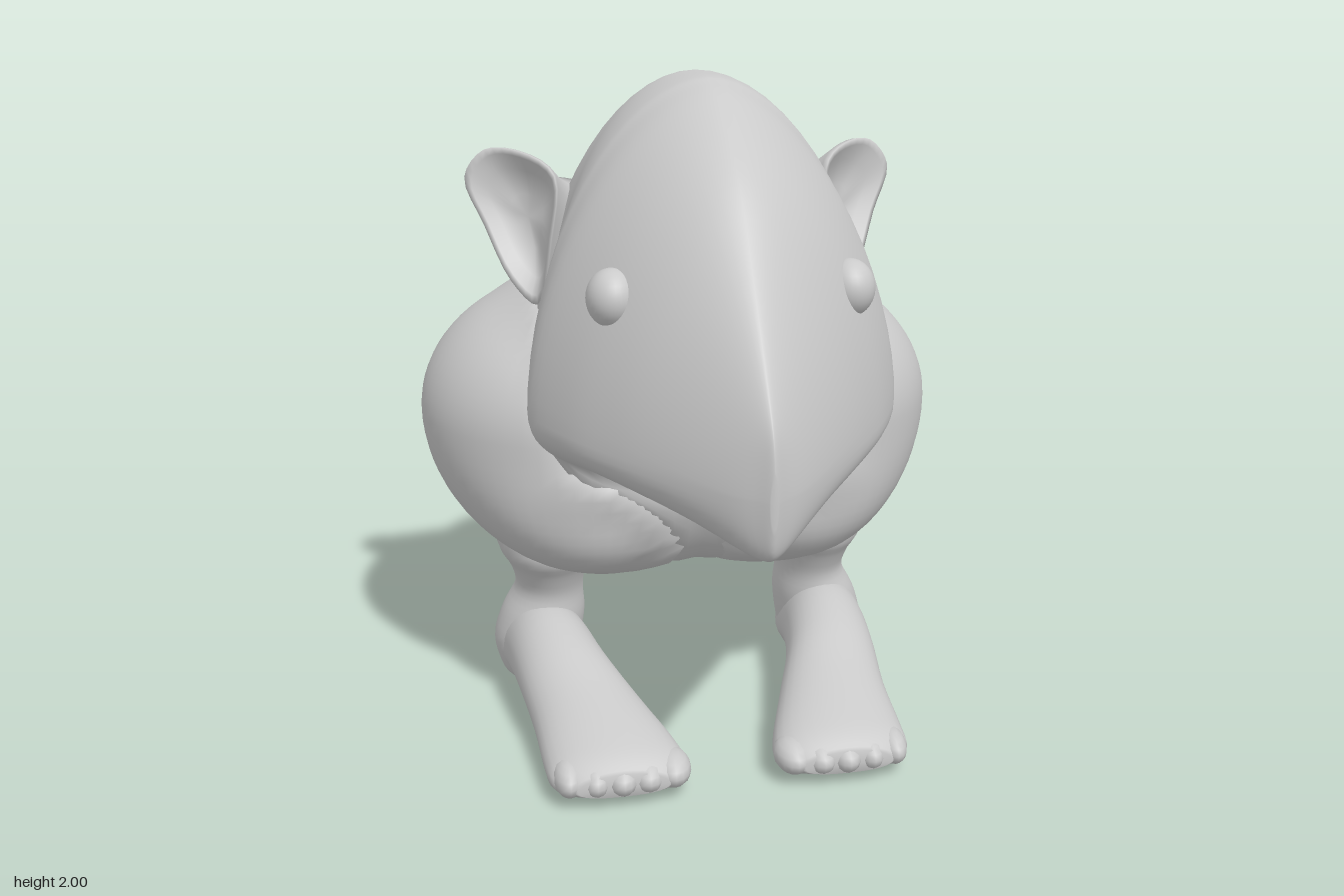
import * as THREE from 'three';

const skin = new THREE.MeshStandardMaterial({ color: 0xcacaca });
skin.name = 'grey skin';

// Catmull-Rom refinement of a short table of section rows
function refine(rows, steps) {
  const out = [];
  const at = (i) => rows[Math.min(Math.max(i, 0), rows.length - 1)];
  for (let i = 0; i < rows.length - 1; i++) {
    for (let s = 0; s < steps; s++) {
      const t = s / steps;
      out.push(rows[i].map((b, k) => {
        const a = at(i - 1)[k], c = at(i + 1)[k], d = at(i + 2)[k];
        return b + 0.5 * t * (c - a + t * (2 * a - 5 * b + 4 * c - d + t * (3 * (b - c) + d - a)));
      }));
    }
  }
  out.push(rows[rows.length - 1]);
  return out;
}

// Skin a list of closed rings, closing both ends
function loft(rings) {
  const n = rings[0].length, pos = [], idx = [];
  rings.forEach((r) => r.forEach((p) => pos.push(p.x, p.y, p.z)));
  for (let i = 0; i < rings.length - 1; i++) {
    for (let j = 0; j < n; j++) {
      const a = i * n + j, b = i * n + (j + 1) % n;
      idx.push(a, b, a + n, b, b + n, a + n);
    }
  }
  const cap = (i, flip) => {
    const c = new THREE.Vector3();
    rings[i].forEach((p) => c.addScaledVector(p, 1 / n));
    const k = pos.length / 3;
    pos.push(c.x, c.y, c.z);
    for (let j = 0; j < n; j++) {
      const a = i * n + j, b = i * n + (j + 1) % n;
      idx.push(k, flip ? b : a, flip ? a : b);
    }
  };
  cap(0, true);
  cap(rings.length - 1, false);
  const g = new THREE.BufferGeometry();
  g.setAttribute('position', new THREE.Float32BufferAttribute(pos, 3));
  g.setIndex(idx);
  g.computeVertexNormals();
  return g;
}

// Upright section at z: rounded above and below its widest height
function sectionRing(z, cx, w, top, bottom, mid, nTop, nBottom, count) {
  return Array.from({ length: count }, (_, j) => {
    const a = (j / count) * Math.PI * 2, s = Math.sin(a), c = Math.cos(a);
    const e = 2 / (c > 0 ? nTop : nBottom);
    const x = cx + w * Math.sign(s) * Math.abs(s) ** e;
    const y = mid + (c > 0 ? top - mid : bottom - mid) * Math.abs(c) ** e;
    return new THREE.Vector3(x, y, z);
  });
}

function add(parent, name, geometry) {
  const mesh = new THREE.Mesh(geometry, skin);
  mesh.name = name;
  parent.add(mesh);
}

function ellipsoid(p, r, seg) {
  return new THREE.SphereGeometry(1, seg, seg / 2).scale(...r).translate(...p);
}

// Head and torso: z, half width, top, bottom, widest height, upper and lower roundness
const bodyRows = refine([
  [0.93, 0.01, 1.1, 0.96, 1.03, 1.5, 2],
  [0.91, 0.035, 1.19, 0.88, 1.03, 1.5, 2],
  [0.845, 0.11, 1.3, 0.855, 1.03, 1.5, 2.2],
  [0.68, 0.255, 1.54, 0.885, 1.05, 1.6, 2.4],
  [0.55, 0.36, 1.72, 0.905, 1.06, 1.7, 2.5],
  [0.42, 0.45, 1.835, 0.91, 1.07, 1.72, 2.5],
  [0.25, 0.53, 1.945, 0.88, 1.08, 1.7, 2.5],
  [0.15, 0.53, 1.985, 0.82, 1.09, 1.75, 2.3],
  [0.1, 0.51, 1.997, 0.7, 1.1, 1.85, 2],
  [0, 0.465, 2, 0.56, 1.13, 2, 2],
  [-0.1, 0.45, 1.995, 0.5, 1.13, 2, 2.1],
  [-0.26, 0.45, 1.947, 0.48, 1.13, 2, 2.2],
  [-0.42, 0.46, 1.84, 0.47, 1.1, 2, 2.2],
  [-0.58, 0.46, 1.676, 0.48, 1.05, 2, 2.2],
  [-0.71, 0.43, 1.5, 0.52, 1, 2, 2],
  [-0.82, 0.32, 1.27, 0.64, 0.95, 2, 2],
  [-0.85, 0.18, 1.13, 0.77, 0.93, 2, 2],
], 4);

// Haunch: flatter above its centre, fuller at the lower front
const haunchAt = [0.3, 0.93, -0.4];
const riseAt = (y) => (y > haunchAt[1] ? 0.42 : 0.51);
const depthAt = (y, front) =>
  0.525 * (front ? 1 + 0.7 * Math.max(0, (haunchAt[1] - y) / 0.51) ** 2 : 1);

function haunchGeometry() {
  const g = new THREE.SphereGeometry(1, 64, 40), pos = g.attributes.position;
  for (let i = 0; i < pos.count; i++) {
    const y = haunchAt[1] + pos.getY(i) * riseAt(haunchAt[1] + pos.getY(i));
    const z = pos.getZ(i);
    pos.setXYZ(i, haunchAt[0] + 0.52 * pos.getX(i), y, haunchAt[2] + z * depthAt(y, z > 0));
  }
  g.computeVertexNormals();
  return g;
}

// Approximate distances to the two body masses
function haunchDistance(p) {
  const z = p.z - haunchAt[2];
  return 0.5 * (Math.hypot((Math.abs(p.x) - haunchAt[0]) / 0.52,
    (p.y - haunchAt[1]) / riseAt(p.y), z / depthAt(p.y, z > 0)) - 1);
}

function torsoDistance(p) {
  const last = bodyRows[bodyRows.length - 1];
  const row = bodyRows.find((r) => r[0] <= p.z) || last;
  const [, w, top, bottom, mid, nTop, nBottom] = row;
  const up = p.y > mid, n = up ? nTop : nBottom, h = up ? top - mid : mid - bottom;
  const g = ((Math.abs(p.x) / w) ** n + (Math.abs(p.y - mid) / h) ** n) ** (1 / n);
  return Math.max((g - 1) * Math.min(w, h), last[0] - p.z);
}

// Swell a mass near its neighbour so the two flow together, and sink what is hidden inside
function blend(geometry, distance) {
  const pos = geometry.attributes.position, nor = geometry.attributes.normal;
  const p = new THREE.Vector3(), n = new THREE.Vector3();
  for (let i = 0; i < pos.count; i++) {
    p.fromBufferAttribute(pos, i);
    n.fromBufferAttribute(nor, i);
    const cheek = THREE.MathUtils.smoothstep(p.z, -0.2, 0.1) * THREE.MathUtils.smoothstep(p.y, 0.75, 0.95);
    const k = 0.16 * (1 - cheek) + 0.001, d = distance(p);
    const h = Math.max(k - Math.abs(d), 0) / k;
    p.addScaledVector(n, k * h * h / 4 + 0.4 * THREE.MathUtils.clamp(d, -0.06, 0));
    pos.setXYZ(i, p.x, p.y, p.z);
  }
  geometry.computeVertexNormals();
  return geometry;
}

// Foot: z, centre x, half width, top, bottom
const footRows = [
  [0.56, 0.33, 0.13, 0.11, 0.04],
  [0.5, 0.33, 0.195, 0.145, 0.015],
  [0.4, 0.34, 0.2, 0.175, 0.005],
  [0.2, 0.38, 0.17, 0.225, 0.025],
  [0, 0.43, 0.145, 0.285, 0.06],
  [-0.2, 0.46, 0.135, 0.31, 0.05],
  [-0.4, 0.48, 0.13, 0.25, 0.005],
  [-0.48, 0.48, 0.08, 0.2, 0.05],
];

// Shank and heel: y, centre x, centre z, x radius, z radius
const shankRows = [
  [0.66, 0.42, -0.32, 0.2, 0.22],
  [0.5, 0.44, -0.31, 0.165, 0.22],
  [0.42, 0.44, -0.31, 0.125, 0.175],
  [0.34, 0.44, -0.32, 0.11, 0.15],
  [0.25, 0.46, -0.33, 0.135, 0.165],
  [0.15, 0.48, -0.34, 0.142, 0.165],
  [0.05, 0.48, -0.35, 0.12, 0.14],
  [0.015, 0.48, -0.35, 0.085, 0.1],
  [0, 0.48, -0.35, 0.03, 0.04],
];

// Ear: outer shell from the skull to the rim, then a cup folded inward
function earGeometry() {
  const rim = new THREE.CatmullRomCurve3([
    [0.41, 1.7, -0.1], [0.43, 1.52, -0.05], [0.47, 1.32, -0.1], [0.54, 1.38, -0.17],
    [0.61, 1.54, -0.25], [0.66, 1.68, -0.28], [0.6, 1.76, -0.27], [0.5, 1.76, -0.21],
  ].map((p) => new THREE.Vector3(...p)), true).getPoints(32).slice(0, 32);
  const centre = new THREE.Vector3();
  rim.forEach((p) => centre.addScaledVector(p, 1 / 32));
  const ring = (scale, x, y, z) => rim.map((p) => p.clone().sub(centre)
    .multiplyScalar(scale).add(centre).add(new THREE.Vector3(x, y, z)));
  return loft([
    ring(0.8, -0.2, -0.08, -0.16),
    ring(0.78, -0.12, -0.06, -0.13),
    ring(0.86, -0.06, -0.03, -0.08),
    ring(0.98, -0.01, 0, -0.025),
    ring(1, 0, 0, 0),
    ring(0.9, -0.005, 0, 0),
    ring(0.7, -0.03, -0.01, -0.03),
    ring(0.35, -0.05, -0.02, -0.05),
  ]);
}

// Everything on the left; the right side mirrors it
function buildSide(name) {
  const side = new THREE.Group();
  side.name = name;
  add(side, 'haunch', blend(haunchGeometry(), torsoDistance));
  add(side, 'eye', ellipsoid([0.325, 1.455, 0.44], [0.07, 0.08, 0.08], 32));
  add(side, 'ear', earGeometry());
  add(side, 'shank', loft(refine(shankRows, 4).map(([y, cx, cz, rx, rz]) =>
    Array.from({ length: 32 }, (_, j) => {
      const a = (j / 32) * Math.PI * 2;
      return new THREE.Vector3(cx + rx * Math.cos(a), y, cz + rz * Math.sin(a));
    }))));
  add(side, 'foot', loft(refine(footRows, 4).map(([z, cx, w, top, bottom]) =>
    sectionRing(z, cx, w, top, bottom, bottom + (top - bottom) * 0.4, 2, 2.5, 32))));
  // Toes, the innermost one largest
  for (let i = 0; i < 5; i++) {
    const r = 0.056 - i * 0.003, z = 0.48 + 0.02 * Math.sin(i * 0.8);
    add(side, 'toe', ellipsoid([0.18 + i * 0.075, 0.075, z], [r, 0.05, 0.085], 16));
  }
  return side;
}

export function createModel() {
  const model = new THREE.Group();
  model.name = 'creature';
  add(model, 'headAndTorso', blend(loft(bodyRows.map(
    ([z, w, top, bottom, mid, nTop, nBottom]) =>
      sectionRing(z, 0, w, top, bottom, mid, nTop, nBottom, 64))), haunchDistance));
  const left = buildSide('leftSide'), right = buildSide('rightSide');
  right.scale.x = -1;
  model.add(left, right);
  return model;
}
